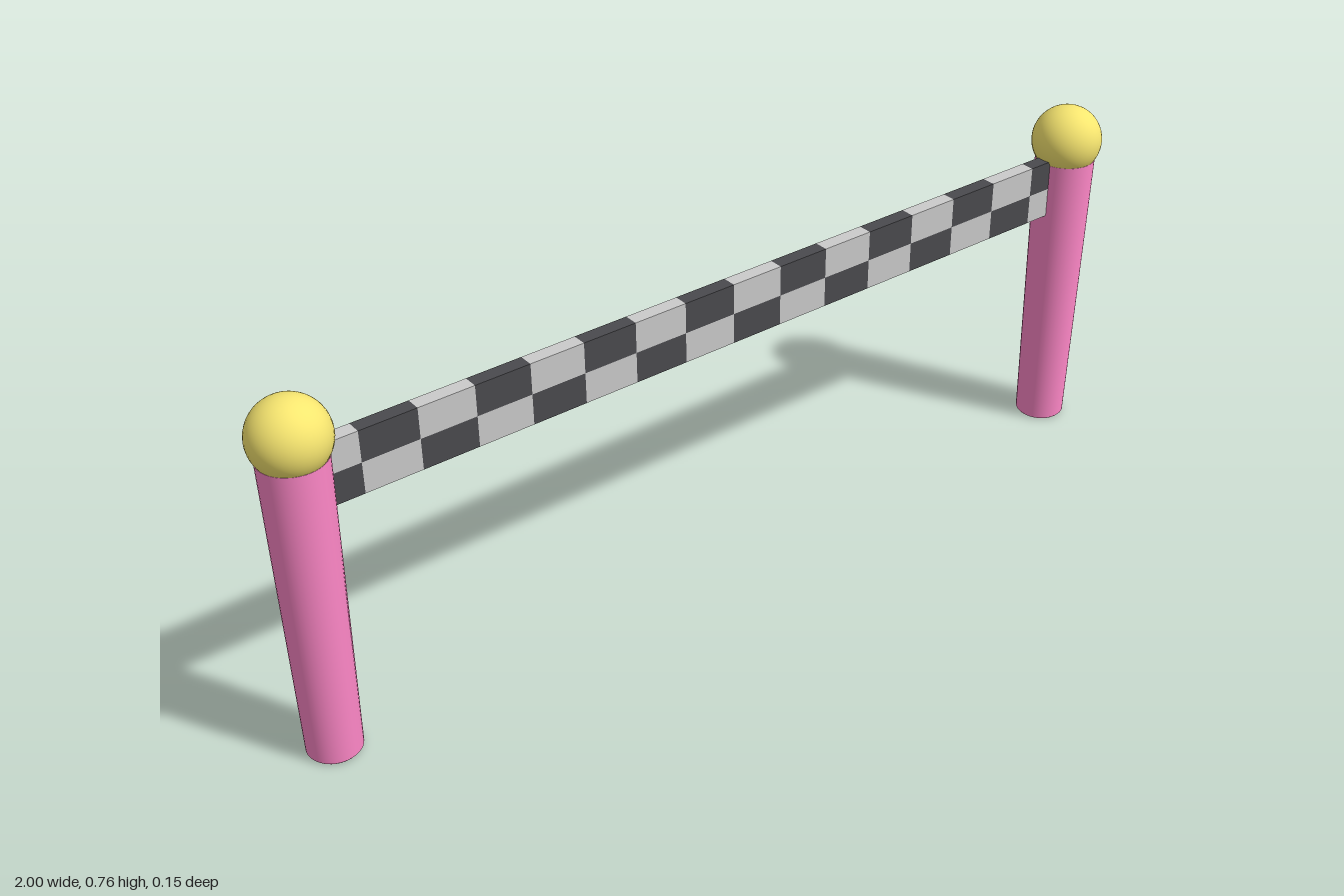
import * as THREE from 'three';

const mat = (color) => new THREE.MeshStandardMaterial({ color });

export function createModel() {
  const model = new THREE.Group();
  const pink = mat(0xff88c8);
  const yellow = mat(0xf7e670);
  const light = mat(0xcccccc);
  const dark = mat(0x4a4a4e);

  const add = (parent, name, geometry, material, x, y) => {
    const mesh = new THREE.Mesh(geometry, material);
    mesh.name = name;
    mesh.position.set(x, y, 0);
    parent.add(mesh);
  };

  // Tapered post with a tiny bevel at the foot; flat base gets its own disc for a crisp edge
  const postGeometry = new THREE.LatheGeometry([
    new THREE.Vector2(0.05, 0),
    new THREE.Vector2(0.0535, 0.004),
    new THREE.Vector2(0.064, 0.645),
  ], 40);
  const discGeometry = new THREE.CircleGeometry(0.05, 40).rotateX(Math.PI / 2);
  const topGeometry = new THREE.CircleGeometry(0.064, 40).rotateX(-Math.PI / 2);
  const ballGeometry = new THREE.SphereGeometry(0.075, 40, 28);

  for (const [side, sign] of [['left', 1], ['right', -1]]) {
    const post = new THREE.Group();
    post.name = side + 'Post';
    post.position.x = sign * 0.925;
    add(post, 'postShaft', postGeometry, pink, 0, 0);
    add(post, 'postBase', discGeometry, pink, 0, 0);
    add(post, 'postTop', topGeometry, pink, 0, 0.645);
    add(post, 'postBall', ballGeometry, yellow, 0, 0.685);
    model.add(post);
  }

  // Chequered banner: one box whose quads alternate between two materials
  const columns = 16, rows = 2;
  const banner = new THREE.BoxGeometry(1.848, 0.129, 0.03, columns, rows, 1);
  banner.clearGroups();
  // Quad layout per box side: [columns, rows, colour offset]
  const sides = [[1, rows, 1], [1, rows, 0], [columns, 1, 0], [columns, 1, 1], [columns, rows, 0], [columns, rows, 0]];
  let start = 0;
  for (const [nx, ny, offset] of sides) {
    for (let r = 0; r < ny; r++) {
      for (let c = 0; c < nx; c++) {
        banner.addGroup(start, 6, (r + c + offset) % 2);
        start += 6;
      }
    }
  }
  add(model, 'chequeredBanner', banner, [light, dark], 0, 0.5905);

  return model;
}
